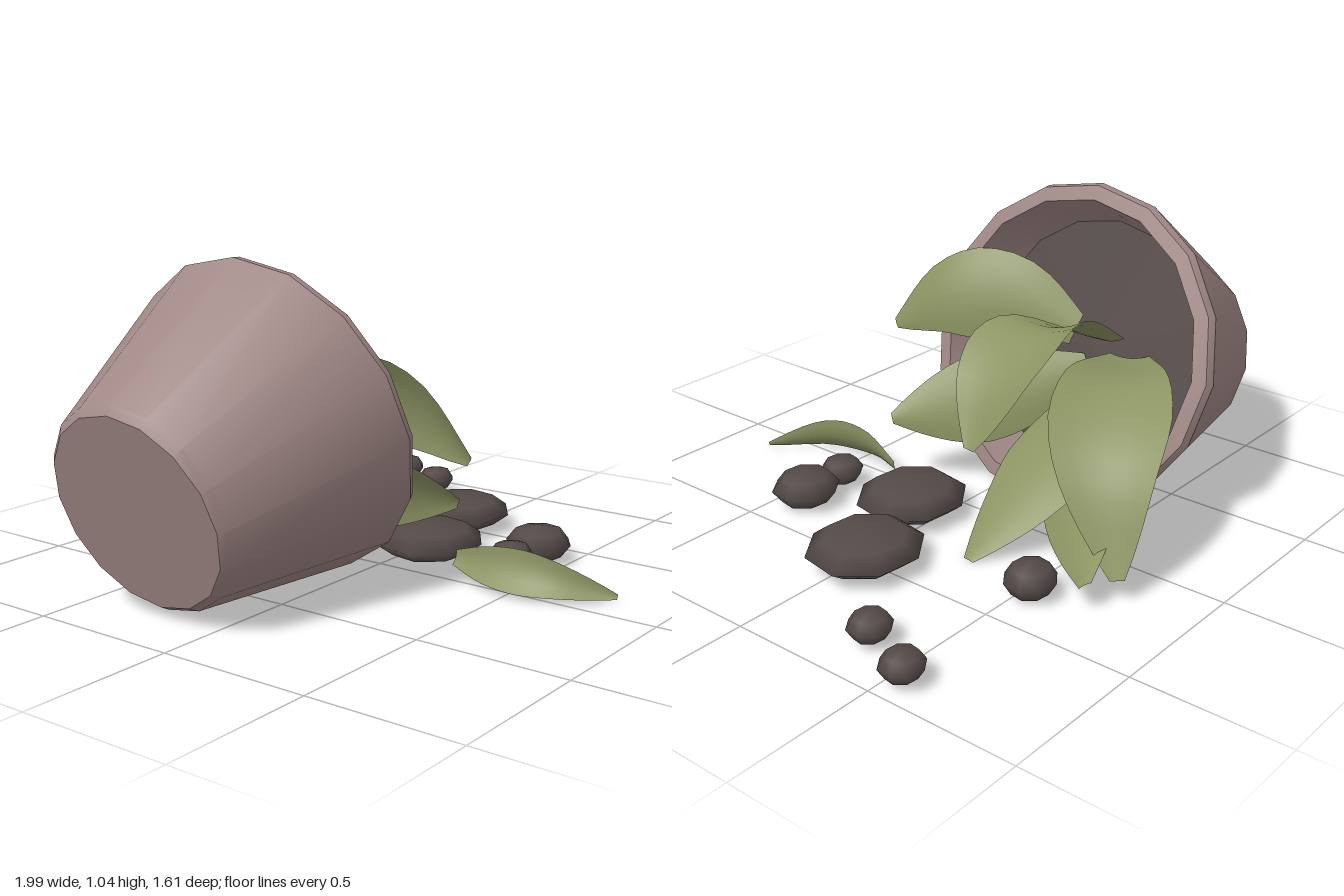
import * as THREE from 'three';
import { toCreasedNormals } from 'three/addons/utils/BufferGeometryUtils.js';

const clay = new THREE.MeshStandardMaterial({ color: 0xa08886 });
const earth = new THREE.MeshStandardMaterial({ color: 0x544a48 });
const green = new THREE.MeshStandardMaterial({ color: 0x8c9463, side: THREE.DoubleSide });

// Tipped-over pot with its soil, built upright and then laid on its side
function makePot() {
  const pot = new THREE.Group();
  pot.name = 'pot';
  const profile = [[0, 0], [0.318, 0], [0.342, 0.025], [0.54, 0.62], [0.53, 0.648], [0.482, 0.655], [0.425, 0.47]]
    .map(([r, y]) => new THREE.Vector2(r, y));
  const shell = new THREE.Mesh(toCreasedNormals(new THREE.LatheGeometry(profile, 16), 0.5), clay);
  shell.name = 'potShell';
  const soil = new THREE.Mesh(new THREE.CircleGeometry(0.428, 16).rotateX(-Math.PI / 2), earth);
  soil.name = 'potSoil';
  soil.position.y = 0.475;
  pot.add(shell, soil);
  pot.position.set(-0.903, 0.353, -0.2);
  pot.rotation.z = -THREE.MathUtils.degToRad(73);
  return pot;
}

// A cupped blade swept along a spine, widest at its middle and tapering to the tip
function makeLeaf(name, width, cup, across, ...spine) {
  const curve = new THREE.CatmullRomCurve3(spine.map((p) => new THREE.Vector3(...p)));
  const rows = 14, cols = 6, pos = [], index = [];
  for (let i = 0; i <= rows; i++) {
    const t = i / rows;
    const p = curve.getPoint(t), along = curve.getTangent(t);
    const side = new THREE.Vector3(...across);
    side.addScaledVector(along, -side.dot(along)).normalize();
    const normal = new THREE.Vector3().crossVectors(along, side);
    const w = width * (t < 0.5 ? 0.35 + 0.65 * Math.sin(Math.PI * t) : 1 - 0.88 * (2 * t - 1) ** 1.6);
    for (let j = 0; j <= cols; j++) {
      const s = (j / cols) * 2 - 1;
      const q = p.clone().addScaledVector(side, s * w).addScaledVector(normal, cup * w * (s * s - 0.3));
      pos.push(q.x, Math.max(q.y, 0.005), q.z);
      if (i < rows && j < cols) {
        const a = i * (cols + 1) + j, b = a + cols + 1;
        index.push(a, b, a + 1, a + 1, b, b + 1);
      }
    }
  }
  const geo = new THREE.BufferGeometry();
  geo.setAttribute('position', new THREE.Float32BufferAttribute(pos, 3));
  geo.setIndex(index);
  geo.computeVertexNormals();
  const mesh = new THREE.Mesh(geo, green);
  mesh.name = name;
  return mesh;
}

// Leaves hanging out of the pot, and one lying on the ground
function makeLeaves() {
  const leaves = new THREE.Group();
  leaves.name = 'leaves';
  leaves.add(
    makeLeaf('backLeaf', 0.185, -0.2, [0.4, 0, 0.87],
      [-0.42, 0.5, -0.36], [-0.1, 0.54, -0.52], [0.12, 0.39, -0.65], [0.21, 0.09, -0.76]),
    makeLeaf('upperLeaf', 0.18, -0.2, [0, -0.17, 1],
      [-0.42, 0.54, -0.28], [-0.12, 0.66, -0.22], [0.08, 0.55, -0.2], [0.19, 0.33, -0.18]),
    makeLeaf('lowerBackLeaf', 0.18, 0.2, [0.3, -0.55, 0.7],
      [-0.42, 0.4, -0.28], [-0.08, 0.24, -0.43], [0.32, 0.11, -0.72]),
    makeLeaf('lowerFrontLeaf', 0.175, 0.2, [0, -0.1, 1],
      [-0.42, 0.4, -0.25], [-0.05, 0.26, -0.31], [0.29, 0.015, -0.26]),
    makeLeaf('frontLeaf', 0.155, 0.2, [-0.25, 1, 0.2],
      [-0.41, 0.55, -0.15], [-0.33, 0.64, 0.07], [-0.25, 0.61, 0.28], [-0.22, 0.475, 0.49]),
    makeLeaf('lowFrontLeaf', 0.15, 0.2, [-0.35, 1, 0.2],
      [-0.42, 0.42, -0.2], [-0.17, 0.32, 0.06], [0.04, 0.255, 0.28]),
    makeLeaf('fallenLeaf', 0.07, 0.25, [0.4, 0.9, 0],
      [0.04, 0.075, 0.27], [-0.01, 0.09, 0.45], [0.01, 0.08, 0.63], [0.12, 0.03, 0.81]),
  );
  return leaves;
}

// Spilled lumps of soil: x, z, radius, half-height
function makeLumps() {
  const lumps = new THREE.Group();
  lumps.name = 'soilLumps';
  const ball = new THREE.SphereGeometry(1, 8, 4);
  [
    [0.16, 0.087, 0.202, 0.057],
    [0.508, -0.03, 0.205, 0.057],
    [0.338, 0.4, 0.123, 0.06],
    [0.168, 0.4, 0.082, 0.047],
    [0.34, -0.54, 0.093, 0.058],
    [0.918, -0.55, 0.076, 0.046],
    [0.83, -0.35, 0.076, 0.046],
  ].forEach(([x, z, r, h], i) => {
    const lump = new THREE.Mesh(ball, earth);
    lump.name = `soilLump${i + 1}`;
    lump.position.set(x, 0.076, z);
    lump.scale.set(r, h, r * 0.9);
    lump.rotation.y = 0.25;
    lumps.add(lump);
  });
  return lumps;
}

export function createModel() {
  const model = new THREE.Group();
  model.name = 'spilledPlant';
  model.add(makePot(), makeLeaves(), makeLumps());
  return model;
}
